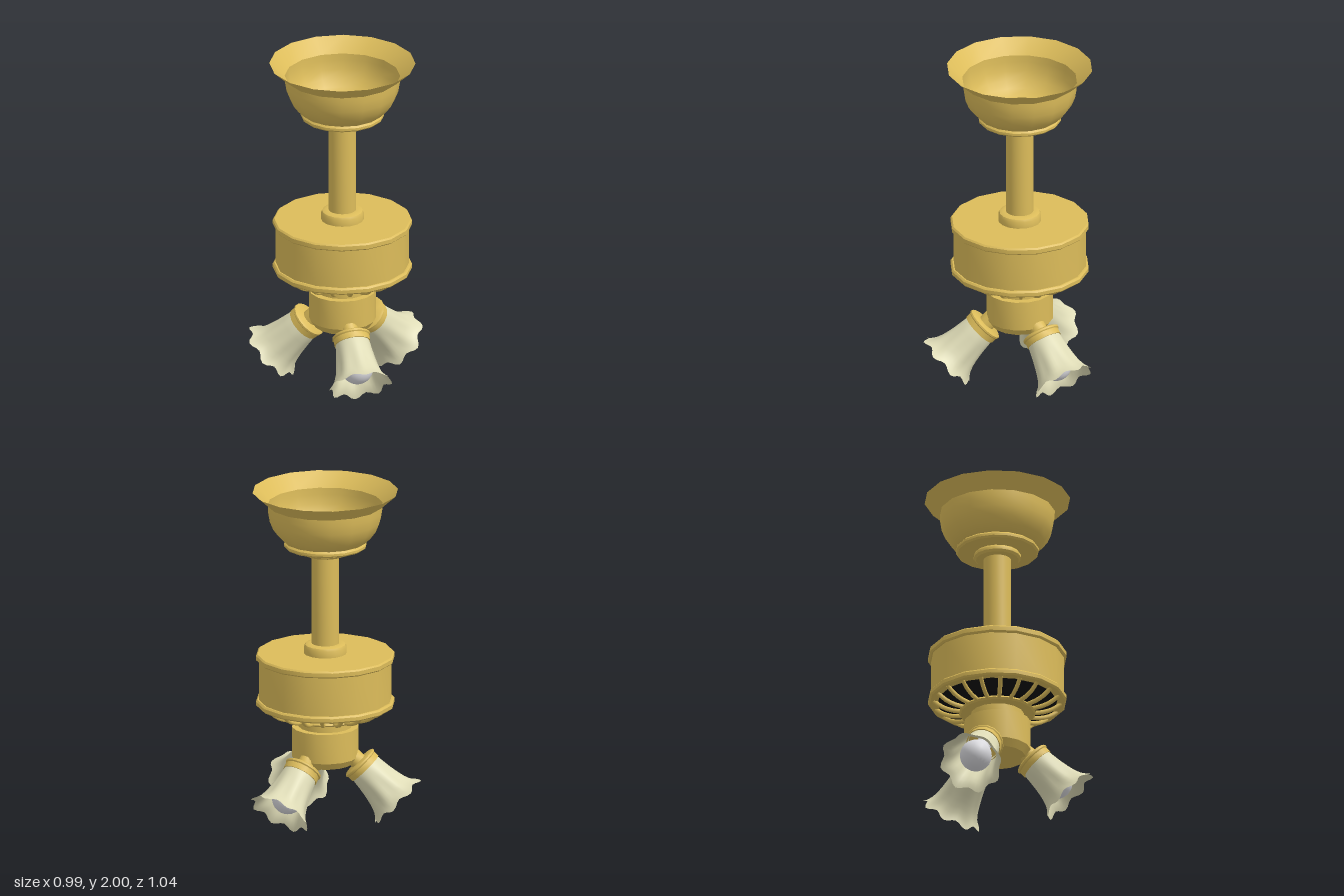
import * as THREE from 'three';
import { toCreasedNormals } from 'three/addons/utils/BufferGeometryUtils.js';

const mat = (name, color, side = THREE.DoubleSide) => {
  const m = new THREE.MeshStandardMaterial({ color, side });
  m.name = name;
  return m;
};

export function createModel() {
  const brass = mat('brass', 0xdcbc5a);
  const glass = mat('frosted glass', 0xdedbb6);
  const black = mat('black', 0x101010);
  const white = mat('bulb white', 0xdcdce0, THREE.FrontSide);

  const fan = new THREE.Group();
  fan.name = 'ceilingFan';
  fan.position.x = -0.07;

  const add = (parent, name, geometry, material) => {
    const mesh = new THREE.Mesh(geometry, material);
    mesh.name = name;
    parent.add(mesh);
    return mesh;
  };
  // Turned part from [radius, height] pairs, listed from the bottom up
  const turned = (parent, name, profile, material, sides = 16) => {
    const points = profile.map(([r, y]) => new THREE.Vector2(r, y));
    return add(parent, name, toCreasedNormals(new THREE.LatheGeometry(points, sides), 0.6), material);
  };

  // Open ceiling canopy with beaded foot
  turned(fan, 'canopy', [
    [0.08, 1.62], [0.125, 1.62], [0.138, 1.632], [0.138, 1.648], [0.13, 1.66], [0.2, 1.66],
    [0.232, 1.662], [0.242, 1.672], [0.242, 1.686], [0.232, 1.697], [0.24, 1.7],
    [0.275, 1.735], [0.305, 1.775], [0.325, 1.825], [0.334, 1.88], [0.336, 1.92], [0.425, 2],
  ], brass);

  // Down rod, dark at its open end
  turned(fan, 'downRod', [[0.08, 1.03], [0.08, 1.64]], brass, 24);
  const bore = add(fan, 'rodBore', new THREE.CircleGeometry(0.081, 24), black);
  bore.rotation.x = -Math.PI / 2;
  bore.position.y = 1.64;
  turned(fan, 'rodCollar', [
    [0.125, 1.02], [0.125, 1.06], [0.118, 1.074], [0.1, 1.081], [0.08, 1.081],
  ], brass);

  // Motor drum with a rounded band at top and bottom
  turned(fan, 'motorHousing', [
    [0.35, 0.706], [0.396, 0.706], [0.405, 0.715], [0.405, 0.736], [0.396, 0.746], [0.388, 0.746],
    [0.388, 0.98], [0.396, 0.98], [0.405, 0.988], [0.405, 1.012], [0.396, 1.021], [0, 1.021],
  ], brass);

  // Vent: dark bowl behind a ring of curved ribs
  turned(fan, 'ventInterior', [[0.15, 0.655], [0.22, 0.657], [0.3, 0.68], [0.36, 0.712]], black);
  const ribCurve = new THREE.CatmullRomCurve3([
    new THREE.Vector3(0.2, 0.645, 0), new THREE.Vector3(0.27, 0.654, 0),
    new THREE.Vector3(0.33, 0.678, 0), new THREE.Vector3(0.37, 0.71, 0),
  ]);
  const ribGeometry = new THREE.TubeGeometry(ribCurve, 6, 0.013, 6);
  const ribCount = 20;
  for (let i = 0; i < ribCount; i++) {
    add(fan, 'ventRib', ribGeometry, brass).rotation.y = (i / ribCount) * Math.PI * 2;
  }

  // Hub carrying the lamps
  turned(fan, 'ventFoot', [
    [0.155, 0.57], [0.155, 0.632], [0.215, 0.632], [0.225, 0.642], [0.215, 0.655], [0.15, 0.655],
  ], brass);
  turned(fan, 'lampHub', [[0, 0.358], [0.165, 0.358], [0.195, 0.4], [0.195, 0.578], [0.15, 0.578]], brass);

  // Ruffled shade: a lathe whose lobes and hem wave grow towards the mouth
  const shadeProfile = [
    [0.092, 0.03], [0.1, 0.06], [0.106, 0.11], [0.113, 0.16], [0.12, 0.2],
    [0.129, 0.24], [0.142, 0.275], [0.16, 0.303], [0.177, 0.32],
  ].map(([r, y]) => new THREE.Vector2(r, y));
  const shadeGeometry = new THREE.LatheGeometry(shadeProfile, 48);
  const pos = shadeGeometry.attributes.position;
  for (let i = 0; i < pos.count; i++) {
    const x = pos.getX(i), y = pos.getY(i), z = pos.getZ(i);
    const t = Math.max(0, (y - 0.06) / 0.26);
    const wave = Math.cos(8 * Math.atan2(z, x));
    const k = 1 + 0.06 * t * wave;
    pos.setXYZ(i, x * k, y + 0.012 * t * t * wave, z * k);
  }
  const smoothShade = toCreasedNormals(shadeGeometry, 1.2);
  const bulbGeometry = new THREE.SphereGeometry(0.093, 24, 16);

  // Three lamps tilted 45 degrees outwards and down
  for (let i = 0; i < 3; i++) {
    const arm = new THREE.Group();
    arm.name = 'lampArm';
    arm.rotation.y = (i * Math.PI * 2) / 3;
    fan.add(arm);
    const lamp = new THREE.Group();
    lamp.name = 'lamp';
    lamp.position.set(0.195, 0.37, 0);
    lamp.rotation.z = -Math.PI * 0.75;
    arm.add(lamp);
    turned(lamp, 'lampSocket', [[0, -0.05], [0.05, -0.05], [0.05, 0.004]], brass, 12);
    turned(lamp, 'shadeHolder', [
      [0, 0], [0.1, 0], [0.112, 0.008], [0.112, 0.018], [0.106, 0.024], [0.106, 0.058], [0.095, 0.058],
    ], brass);
    add(lamp, 'shade', smoothShade, glass);
    add(lamp, 'bulb', bulbGeometry, white).position.y = 0.215;
    turned(lamp, 'bulbNeck', [[0.045, 0], [0.045, 0.1], [0.065, 0.15]], white, 16);
  }

  const model = new THREE.Group();
  model.name = 'ceilingFanModel';
  model.add(fan);
  return model;
}
